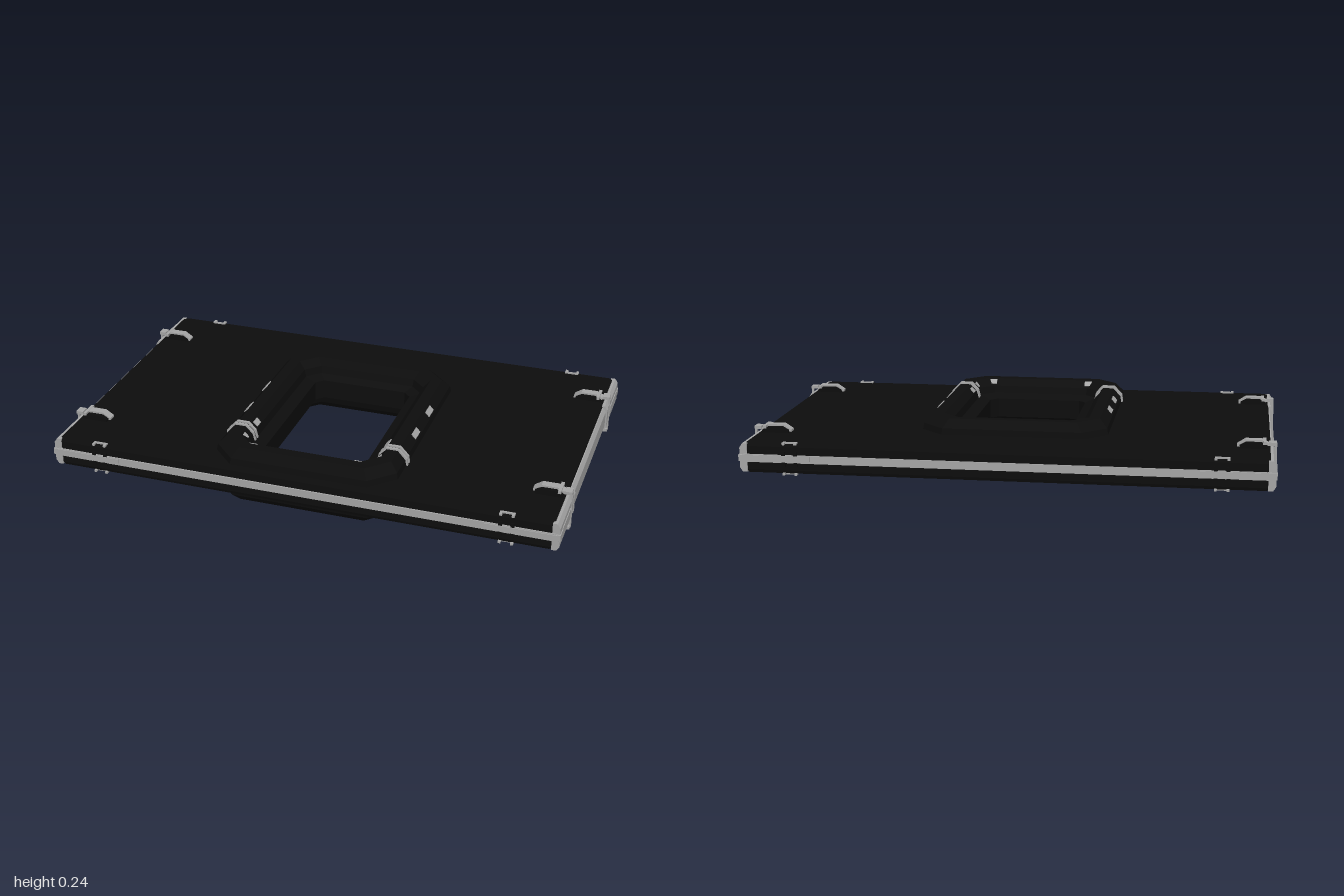
import * as THREE from 'three';

const MID = 0.12; // height of the panel's middle plane

export function createModel() {
  const black = new THREE.MeshStandardMaterial({ color: 0x0d0d0d, flatShading: true });
  black.name = 'black';
  const grey = new THREE.MeshStandardMaterial({ color: 0xa6a6a6, flatShading: true });
  grey.name = 'grey';

  const model = new THREE.Group();
  model.name = 'windowPanel';
  const add = (parent, name, geo, mat, x = 0, y = 0, z = 0) => {
    const m = new THREE.Mesh(geo, mat);
    m.name = name;
    m.position.set(x, y, z);
    parent.add(m);
    return m;
  };
  const box = (parent, name, mat, w, h, d, x, y, z) =>
    add(parent, name, new THREE.BoxGeometry(w, h, d), mat, x, y, z);
  // closed x/y profile drawn out along z, centred on z
  const bar = (pts, length) => new THREE.ExtrudeGeometry(
    new THREE.Shape(pts.map(p => new THREE.Vector2(...p))), { depth: length, bevelEnabled: false },
  ).translate(0, 0, -length / 2);

  // panel with its window and raised frame, lofted through chamfered rectangles
  const half = [ // half width, back z, front z, corner chamfer, height from the middle
    [0.205, -0.23, 0.412, 0.03, 0.04],
    [0.25, -0.262, 0.46, 0.05, 0.056],
    [0.258, -0.27, 0.468, 0.055, 0.085],
    [0.285, -0.295, 0.497, 0.065, 0.113],
    [0.328, -0.328, 0.54, 0.08, 0.113],
    [0.358, -0.36, 0.572, 0.09, 0.08],
    [0.362, -0.364, 0.576, 0.09, 0.056],
    [0.975, -0.598, 0.598, 0.015, 0.056],
    [0.98, -0.602, 0.602, 0.015, 0.045],
  ];
  const rings = [...half, ...half.slice().reverse().map(r => [...r.slice(0, 4), -r[4]])];
  const loop = ([x, b, f, c, y]) => [
    [x, f - c], [x, b + c], [x - c, b], [c - x, b], [-x, b + c], [-x, f - c], [c - x, f], [x - c, f],
  ].map(([px, pz]) => [px, y, pz]);
  const pos = [];
  rings.forEach((r, i) => {
    const p = loop(r), q = loop(rings[(i + 1) % rings.length]);
    for (let j = 0; j < 8; j++) {
      const k = (j + 1) % 8;
      pos.push(...p[j], ...q[j], ...q[k], ...p[j], ...q[k], ...p[k]);
    }
  });
  const body = new THREE.BufferGeometry();
  body.setAttribute('position', new THREE.Float32BufferAttribute(pos, 3));
  body.computeVertexNormals();
  add(model, 'panelBody', body, black, 0, MID, 0);

  // strips and corner bands on the long edges
  for (const s of [1, -1]) {
    box(model, 'edgeStrip', grey, 1.96, 0.03, 0.012, 0, MID, s * 0.602);
    for (const t of [1, -1]) {
      box(model, 'cornerBand', grey, 0.27, 0.024, 0.01, t * 0.858, MID, s * 0.606);
      // staple gripping the edge
      for (const v of [1, -1]) {
        box(model, 'stapleBridge', grey, 0.05, 0.008, 0.008, t * 0.803, MID + v * 0.058, s * 0.589);
        for (const x of [0.78, 0.826]) {
          box(model, 'stapleLeg', grey, 0.01, 0.008, 0.024, t * x, MID + v * 0.058, s * 0.597);
          box(model, 'staplePin', black, 0.014, 0.016, 0.006, t * x, MID + v * 0.021, s * 0.607);
        }
      }
    }
  }

  // short ends: rail, end caps, clips
  const rail = [[0.97, -0.05], [0.982, -0.05], [0.993, -0.032], [0.993, 0.032], [0.982, 0.05], [0.97, 0.05]];
  const cap = [[0.968, -0.055], [0.986, -0.055], [0.997, -0.038], [0.997, 0.038], [0.986, 0.055], [0.968, 0.055]];
  const pad = [[0.862, 0.056], [0.965, 0.056], [0.965, 0.066], [0.942, 0.079], [0.885, 0.079], [0.862, 0.066]];
  const hook = [[0.853, 0.058], [0.868, 0.058], [0.886, 0.079], [0.942, 0.079], [0.968, 0.064],
    [0.972, 0.072], [0.945, 0.086], [0.884, 0.086], [0.853, 0.066]];
  const flip = pts => pts.map(([x, y]) => [x, -y]);
  for (const turn of [0, Math.PI]) {
    const end = new THREE.Group();
    end.name = turn ? 'rightEnd' : 'leftEnd';
    end.position.y = MID;
    end.rotation.y = turn;
    model.add(end);
    add(end, 'endRail', bar(rail, 0.74), grey);
    for (const s of [1, -1]) {
      add(end, 'endCap', bar(cap, 0.25), grey, 0, 0, s * 0.478);
      add(end, 'capCollar', bar(cap, 0.02), grey, 0.002, 0, s * 0.348);
      box(end, 'capPlate', grey, 0.006, 0.036, 0.14, 0.997, 0, s * 0.49);
      box(end, 'cornerTab', grey, 0.02, 0.026, 0.065, 0.99, 0, s * 0.577);
      box(end, 'clipStrap', grey, 0.008, 0.15, 0.014, 0.996, 0, s * 0.395);
      for (const v of [1, -1]) {
        add(end, 'clipPad', bar(v > 0 ? pad : flip(pad), 0.055), black, 0, 0, s * 0.395);
        add(end, 'clipHook', bar(v > 0 ? hook : flip(hook), 0.032), grey, 0, 0, s * 0.39);
        box(end, 'clipCrossbar', grey, 0.012, 0.012, 0.07, 0.954, v * 0.078, s * 0.39);
        box(end, 'strapHead', grey, 0.028, 0.012, 0.036, 0.984, v * 0.073, s * 0.395);
      }
    }
  }

  // bands over the raised frame and small inlays on its slopes
  const band = [[0.246, 0.056], [0.254, 0.09], [0.282, 0.119], [0.331, 0.119], [0.364, 0.084], [0.368, 0.056],
    [0.358, 0.056], [0.354, 0.08], [0.327, 0.11], [0.286, 0.11], [0.262, 0.085], [0.256, 0.056]];
  for (const s of [1, -1]) for (const v of [1, -1]) {
    const pts = band.map(([x, y]) => [s * x, v * y]);
    for (const z of [0.349, 0.371]) add(model, 'frameBand', bar(pts, 0.011), grey, 0, MID, z);
    for (const z of [0, 0.192]) {
      const m = box(model, 'outerInlay', grey, 0.024, 0.006, 0.06, s * 0.345, MID + v * 0.096, z);
      m.rotation.z = -s * v * 0.83;
    }
    for (const z of [0.303, 0.428]) {
      const m = box(model, 'innerInlay', grey, 0.024, 0.006, 0.036, s * 0.268, MID + v * 0.097, z);
      m.rotation.z = s * v * 0.8;
    }
    const f = box(model, 'frontInlay', grey, 0.036, 0.006, 0.024, s * 0.21, MID + v * 0.1, 0.482);
    f.rotation.x = -v * 0.77;
  }
  return model;
}
